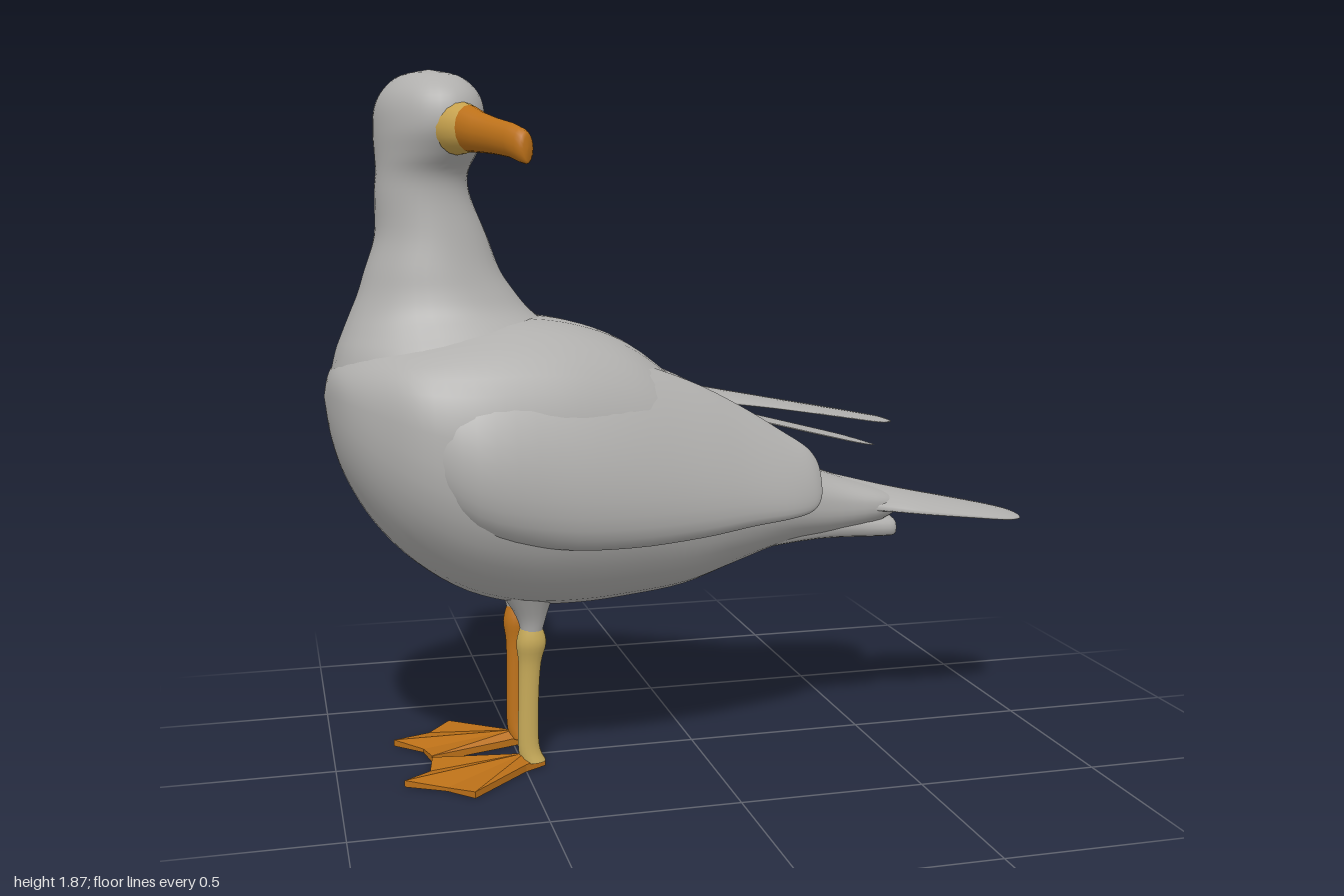
import * as THREE from 'three';

const mat = (name, color) => {
  const m = new THREE.MeshStandardMaterial({ color, side: THREE.DoubleSide });
  m.name = name;
  return m;
};

// Catmull-Rom refinement of a list of cross-section stations
function refine(st, n = 4) {
  const out = [];
  const at = i => st[Math.min(Math.max(i, 0), st.length - 1)];
  for (let i = 0; i < st.length - 1; i++) {
    for (let k = 0; k < n; k++) {
      const t = k / n;
      out.push(st[i].map((p1, c) => {
        const p0 = at(i - 1)[c], p2 = at(i + 1)[c], p3 = at(i + 2)[c];
        const v0 = (p2 - p0) / 2, v1 = (p3 - p1) / 2;
        return (2 * p1 - 2 * p2 + v0 + v1) * t ** 3 + (3 * p2 - 3 * p1 - 2 * v0 - v1) * t * t + v0 * t + p1;
      }));
    }
  }
  out.push(st[st.length - 1]);
  return out;
}

// Skin over rings; ring(station, angle) gives one point [x, y, z]
function loft(stations, ring, segs = 28, from = 0, sweep = Math.PI * 2) {
  const closed = sweep > 6.28, cols = closed ? segs : segs + 1;
  const pos = [], idx = [];
  stations.forEach((s, i) => {
    for (let j = 0; j < cols; j++) pos.push(...ring(s, from + sweep * j / segs));
    if (i === 0) return;
    for (let j = 0; j < segs; j++) {
      const k = (j + 1) % cols, a = (i - 1) * cols, b = i * cols;
      idx.push(a + j, a + k, b + k, a + j, b + k, b + j);
    }
  });
  const g = new THREE.BufferGeometry();
  g.setAttribute('position', new THREE.Float32BufferAttribute(pos, 3));
  g.setIndex(idx);
  g.computeVertexNormals();
  return g;
}

// Copy reflected in z, with the corner order reversed
function mirrorZ(geo) {
  const g = geo.clone().scale(1, 1, -1);
  const a = g.index.array;
  for (let i = 0; i < a.length; i += 3) [a[i], a[i + 1]] = [a[i + 1], a[i]];
  g.computeVertexNormals();
  return g;
}

// Section shapes
const { cos, sin, abs, sign } = Math;
const bodyRing = ([x, top, bot, mid, half], a) => {
  const c = cos(a), s = sin(a), p = c > 0 ? 0.74 : 0.92;
  return [x, mid + (c > 0 ? top - mid : mid - bot) * sign(c) * abs(c) ** p, half * sign(s) * abs(s) ** p];
};
const wingRing = ([x, cy, cz, ry, rz, tilt], a) => {
  const u = ry * cos(a), v = rz * sin(a);
  return [x, cy + u * cos(tilt) + v * sin(tilt), cz - u * sin(tilt) + v * cos(tilt)];
};
const plateRing = ([x, cy, ry, rz, droop], a) => {
  const c = cos(a), s = sin(a);
  return [x, cy + ry * sign(c) * abs(c) ** 0.6 - droop * s * s, rz * s];
};
const neckRing = ([y, cx, cz, rx, rz, yaw], a) => {
  const u = rx * sin(a), v = rz * cos(a);
  return [cx + u * cos(yaw) + v * sin(yaw), y, cz - u * sin(yaw) + v * cos(yaw)];
};
const beakRing = ([t, cy, ry, rx], a) => [rx * cos(a), cy + ry * sin(a), t];
const legRing = ([y, cx, cz, rx, rz], a) => [cx + rx * sin(a), y, cz + rz * cos(a)];

export function createModel() {
  const root = new THREE.Group();
  root.name = 'bird';
  const grey = mat('grey plumage', 0xb0afad);
  const orange = mat('orange skin', 0xbb7018);
  const yellow = mat('yellow skin', 0xc9ac5a);
  const gold = mat('golden beak base', 0xc6a14c);
  const add = (name, geo, m, parent = root) => {
    const mesh = new THREE.Mesh(geo, m);
    mesh.name = name;
    parent.add(mesh);
  };

  // Body: x, top, bottom, widest height, half width
  add('body', loft(refine([
    [-1, 1.03, 1.03, 1.03, 0], [-0.985, 1.09, 0.92, 1.02, 0.1], [-0.95, 1.13, 0.81, 1, 0.195],
    [-0.88, 1.17, 0.69, 0.96, 0.285], [-0.78, 1.195, 0.585, 0.91, 0.37], [-0.65, 1.22, 0.5, 0.86, 0.4],
    [-0.5, 1.235, 0.455, 0.84, 0.392], [-0.35, 1.217, 0.445, 0.84, 0.37], [-0.2, 1.16, 0.455, 0.82, 0.335],
    [-0.05, 1.045, 0.475, 0.78, 0.285], [0.1, 0.93, 0.525, 0.74, 0.235], [0.25, 0.825, 0.575, 0.7, 0.185],
    [0.4, 0.765, 0.59, 0.68, 0.14], [0.54, 0.72, 0.62, 0.675, 0.11], [0.62, 0.69, 0.66, 0.675, 0.05],
  ]), bodyRing, 40), grey);

  // Neck flaring into the shoulders, and turned head:
  // y, centre x, centre z, half width, half length, yaw
  add('neckAndHead', loft(refine([
    [0.95, -0.61, 0, 0.36, 0.325, 0], [1.05, -0.63, 0, 0.355, 0.305, 0], [1.14, -0.65, 0, 0.32, 0.265, 0],
    [1.2, -0.67, 0, 0.278, 0.215, 0], [1.25, -0.69, 0, 0.237, 0.175, 0], [1.3, -0.7, 0, 0.206, 0.155, 0],
    [1.36, -0.71, 0, 0.177, 0.142, 0], [1.45, -0.712, -0.005, 0.147, 0.13, 0.1],
    [1.55, -0.731, -0.005, 0.126, 0.12, 0.2], [1.61, -0.732, 0, 0.12, 0.122, 0.35],
    [1.66, -0.722, 0.01, 0.126, 0.145, 0.5], [1.72, -0.715, 0.02, 0.13, 0.168, 0.5],
    [1.78, -0.712, 0.02, 0.127, 0.166, 0.5], [1.825, -0.71, 0.02, 0.108, 0.14, 0.5],
    [1.86, -0.71, 0.018, 0.068, 0.088, 0.5], [1.876, -0.71, 0.018, 0, 0, 0.5],
  ]), neckRing, 36), grey);

  // Beak: distance, centre height, half height, half width
  const beak = new THREE.Group();
  beak.name = 'beak';
  beak.position.set(-0.655, 0, 0.14);
  beak.rotation.y = 0.537;
  root.add(beak);
  add('beakBase', loft([
    [0, 1.725, 0.07, 0.069], [0.03, 1.723, 0.065, 0.059], [0.056, 1.721, 0.059, 0.05],
  ], beakRing, 16), gold, beak);
  add('bill', loft([
    [0.04, 1.722, 0.058, 0.05], [0.056, 1.721, 0.059, 0.05], [0.1, 1.711, 0.051, 0.041],
    [0.16, 1.7, 0.045, 0.035], [0.22, 1.689, 0.043, 0.031], [0.255, 1.677, 0.043, 0.027],
    [0.273, 1.67, 0.039, 0.022], [0.278, 1.667, 0.03, 0.014], [0.279, 1.667, 0, 0],
  ], beakRing, 16), orange, beak);

  // Folded wings: x, centre y, centre z, half height, half thickness, inward tilt
  const wing = loft(refine([
    [-0.83, 0.97, 0.28, 0, 0, 0.25], [-0.78, 0.955, 0.29, 0.1, 0.06, 0.25], [-0.65, 0.915, 0.3, 0.2, 0.115, 0.25],
    [-0.45, 0.905, 0.287, 0.25, 0.115, 0.28], [-0.25, 0.89, 0.262, 0.25, 0.105, 0.32], [-0.05, 0.86, 0.225, 0.215, 0.085, 0.4],
    [0.1, 0.83, 0.2, 0.17, 0.06, 0.46], [0.22, 0.797, 0.185, 0.125, 0.04, 0.46], [0.29, 0.78, 0.175, 0.09, 0.025, 0.4],
    [0.32, 0.775, 0.17, 0.05, 0.01, 0.4], [0.325, 0.775, 0.17, 0, 0, 0.4],
  ]), wingRing, 32);
  add('leftWing', wing, grey);
  add('rightWing', mirrorZ(wing), grey);

  // Long flight feathers and tail: x, centre y, half thickness, half width, droop of the edges
  const plate = (name, st) => add(name, loft(refine(st), plateRing, 24), grey);
  plate('upperFlightFeathers', [
    [-0.15, 1.045, 0.02, 0.1, 0.02], [0, 1.02, 0.01, 0.12, 0.02], [0.2, 0.984, 0.006, 0.12, 0.012],
    [0.42, 0.942, 0.004, 0.12, 0.006], [0.52, 0.922, 0.004, 0.1, 0.004], [0.57, 0.912, 0.003, 0.06, 0], [0.59, 0.908, 0, 0, 0],
  ]);
  plate('lowerFlightFeathers', [
    [-0.1, 0.985, 0.015, 0.09, 0], [0.1, 0.95, 0.006, 0.1, 0], [0.35, 0.888, 0.004, 0.1, 0],
    [0.48, 0.855, 0.003, 0.08, 0], [0.55, 0.837, 0, 0, 0],
  ]);
  plate('tail', [
    [0.2, 0.775, 0.035, 0.13, 0.05], [0.4, 0.738, 0.026, 0.118, 0.05], [0.55, 0.709, 0.016, 0.122, 0.042],
    [0.65, 0.689, 0.012, 0.132, 0.035], [0.8, 0.659, 0.009, 0.122, 0.025], [0.92, 0.633, 0.007, 0.105, 0.015],
    [0.98, 0.617, 0.005, 0.065, 0.005], [1, 0.61, 0, 0, 0],
  ]);
  plate('undertail', [
    [0.15, 0.61, 0.05, 0.13, 0], [0.35, 0.625, 0.045, 0.115, 0], [0.54, 0.61, 0.034, 0.095, 0],
    [0.59, 0.605, 0.027, 0.07, 0], [0.6, 0.605, 0, 0, 0],
  ]);

  // Legs: y, centre x, centre z, half length, half width
  const thigh = loft(refine([
    [0.37, -0.48, 0.12, 0.026, 0.024], [0.42, -0.478, 0.122, 0.037, 0.032],
    [0.48, -0.485, 0.13, 0.062, 0.05], [0.58, -0.5, 0.14, 0.12, 0.09],
  ]), legRing, 16);
  const shank = refine([
    [0.02, -0.475, 0.1, 0.034, 0.03], [0.07, -0.488, 0.102, 0.029, 0.023], [0.2, -0.487, 0.108, 0.028, 0.022],
    [0.3, -0.483, 0.113, 0.031, 0.025], [0.36, -0.479, 0.118, 0.041, 0.034], [0.41, -0.48, 0.12, 0.027, 0.025],
  ]);
  // Yellow outside and back, orange inner front
  const outer = loft(shank, legRing, 10, -Math.PI / 2, Math.PI * 1.25);
  const inner = loft(shank, legRing, 6, Math.PI * 0.75, Math.PI * 0.75);

  // Webbed foot: toe tips and web notches fanned out from the ankle
  const rim = [
    [-0.442, 0.025, 0.1], [-0.5, 0.022, 0.135], [-0.66, 0.02, 0.295], [-0.725, 0.012, 0.225], [-0.83, 0.02, 0.165],
    [-0.755, 0.012, 0.09], [-0.74, 0.02, 0.005], [-0.53, 0.022, 0.07],
  ];
  const tri = [];
  rim.forEach((a, i) => {
    const b = rim[(i + 1) % rim.length], a0 = [a[0], 0.002, a[2]], b0 = [b[0], 0.002, b[2]];
    tri.push(b, [-0.5, 0.042, 0.1], a, a0, [-0.5, 0.002, 0.1], b0, b, a, b0, b0, a, a0);
  });
  const foot = new THREE.BufferGeometry();
  foot.setAttribute('position', new THREE.Float32BufferAttribute(tri.flat(), 3));
  foot.setIndex(tri.map((_, i) => i));
  foot.computeVertexNormals();

  for (const side of ['left', 'right']) {
    const put = (name, g, m) => add(side + name, side === 'left' ? g : mirrorZ(g), m);
    put('Thigh', thigh, grey);
    put('LegOuter', outer, yellow);
    put('LegInner', inner, orange);
    put('Foot', foot, orange);
  }
  return root;
}
